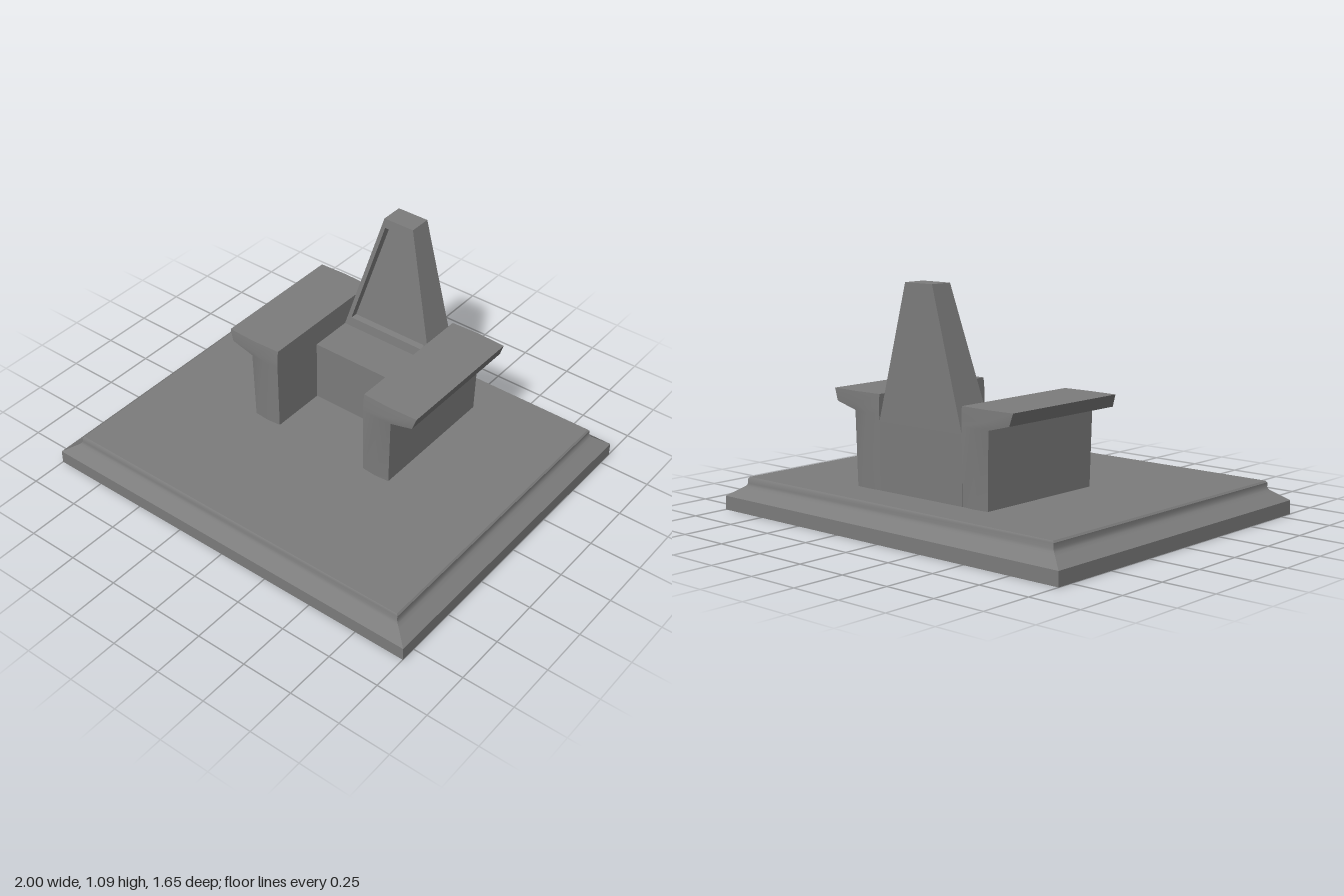
import * as THREE from 'three';
import { toCreasedNormals } from 'three/addons/utils/BufferGeometryUtils.js';

const material = new THREE.MeshStandardMaterial({ color: 0x7c7c7c });

// Solid skinned through a series of convex rings, capped at both ends.
// Corners run counter-clockwise seen from the end the series travels towards.
function loft(name, rings) {
  const positions = [];
  const fan = (points) => {
    for (let i = 1; i < points.length - 1; i++) positions.push(...points[0], ...points[i], ...points[i + 1]);
  };
  fan([...rings[0]].reverse());
  for (let r = 0; r < rings.length - 1; r++) {
    const [a, b] = [rings[r], rings[r + 1]];
    for (let i = 0; i < a.length; i++) {
      const j = (i + 1) % a.length;
      fan([a[i], a[j], b[j], b[i]]);
    }
  }
  fan(rings[rings.length - 1]);

  const geometry = new THREE.BufferGeometry();
  geometry.setAttribute('position', new THREE.Float32BufferAttribute(positions, 3));
  const mesh = new THREE.Mesh(toCreasedNormals(geometry, THREE.MathUtils.degToRad(40)), material);
  mesh.name = name;
  return mesh;
}

// Horizontal rectangle at height y
const rect = (y, x0, x1, z0, z1) => [[x0, y, z1], [x1, y, z1], [x1, y, z0], [x0, y, z0]];

// The same with its front and back edges bowed slightly outwards
function bowedRect(y, x0, x1, z0, z1) {
  const [a, b, c, d] = rect(y, x0, x1, z0, z1);
  const middle = (x0 + x1) / 2;
  return [a, [middle, y, z1 + 0.006], b, c, [middle, y, z0 - 0.006], d];
}

// Upright trapezoid; bottom and top edges each have a half width, height and depth
const trapezoid = (w0, y0, z0, w1, y1, z1) => [[-w0, y0, z0], [w0, y0, z0], [w1, y1, z1], [-w1, y1, z1]];

export function createModel() {
  const model = new THREE.Group();
  model.name = 'throne';

  // Plinth with a sloping border that sweeps up into a low step: height, half width, half depth
  const plinthProfile = [
    [0, 1, 0.825], [0.065, 1, 0.825], [0.103, 0.941, 0.776], [0.113, 0.926, 0.764],
    [0.125, 0.918, 0.758], [0.147, 0.918, 0.758], [0.155, 0.911, 0.752],
  ];
  model.add(loft('plinth', plinthProfile.map(([y, w, d]) => rect(y, -w, w, -d, d))));

  // Seat block between the arms
  model.add(loft('seat', [rect(0.15, -0.248, 0.248, -0.559, -0.161), rect(0.465, -0.248, 0.248, -0.56, -0.161)]));

  // Arms flaring outwards into an overhanging rest: height, outer x, back z, front z
  const armProfile = [
    [0.15, 0.392, -0.557, 0.12],
    [0.5, 0.4, -0.561, 0.125],
    [0.53, 0.515, -0.561, 0.125],
    [0.587, 0.534, -0.559, 0.119],
  ];
  model.add(loft('leftArm', armProfile.map(([y, x, z0, z1]) => bowedRect(y, 0.248, x, z0, z1))));
  model.add(loft('rightArm', armProfile.map(([y, x, z0, z1]) => bowedRect(y, -x, -0.248, z0, z1))));

  // Tapering backrest, with a framed panel sunk into its leaning front
  model.add(loft('backrest', [
    trapezoid(0.248, 0.465, -0.56, 0.08, 1.088, -0.56),
    trapezoid(0.248, 0.465, -0.378, 0.08, 1.088, -0.45),
    trapezoid(0.213, 0.511, -0.383, 0.071, 1.043, -0.445),
    trapezoid(0.208, 0.516, -0.413, 0.066, 1.038, -0.475),
  ]));

  return model;
}
